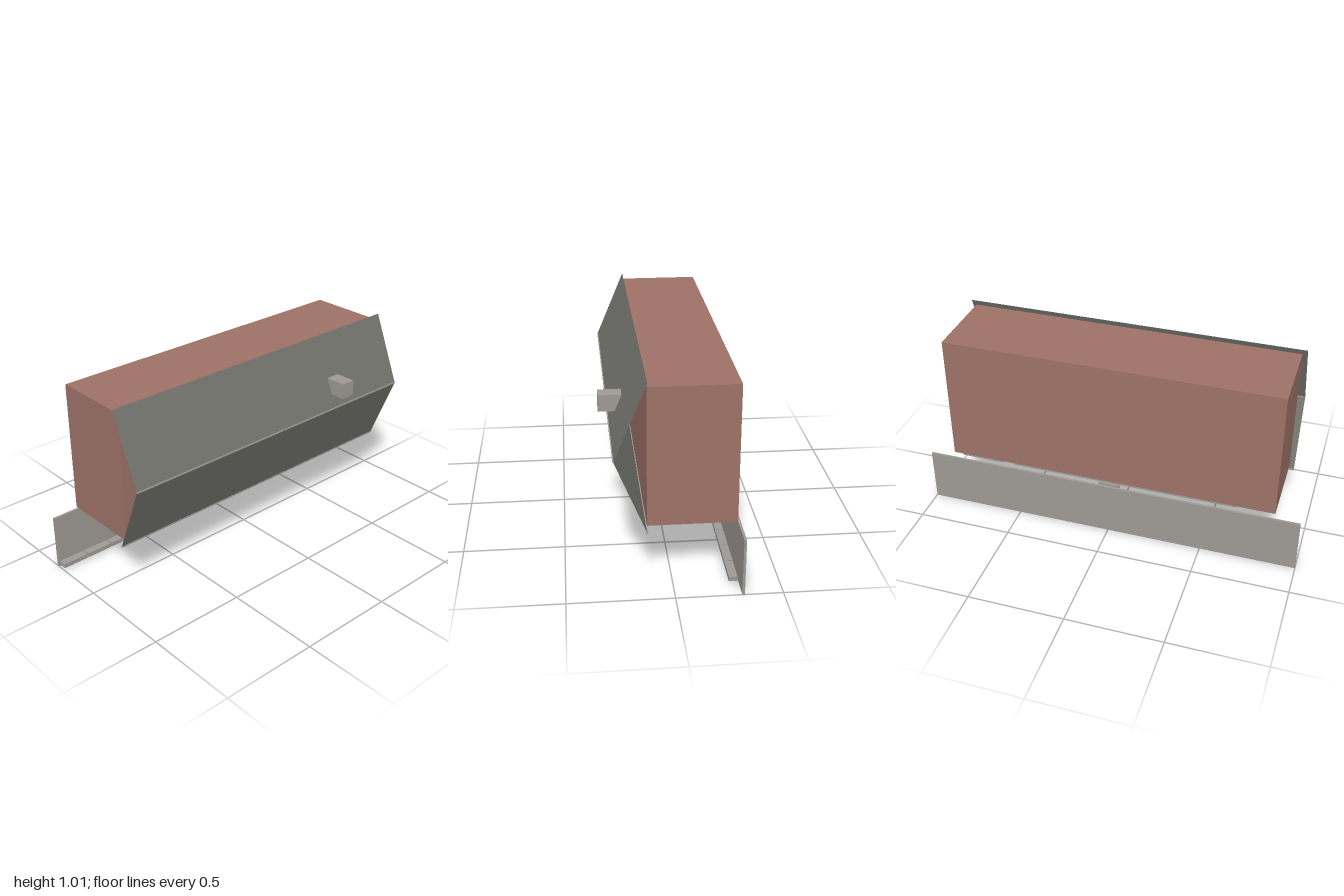
import * as THREE from 'three';

const brick = new THREE.MeshStandardMaterial({ name: 'brick', color: 0x9e7267 });
const stone = new THREE.MeshStandardMaterial({ name: 'stone', color: 0x9e9994 });
const slate = new THREE.MeshStandardMaterial({ name: 'slate', color: 0x74746f, side: THREE.DoubleSide });

// Box given by its low and high limits on each axis
function block(name, material, [x0, x1], [y0, y1], [z0, z1]) {
  const mesh = new THREE.Mesh(new THREE.BoxGeometry(x1 - x0, y1 - y0, z1 - z0), material);
  mesh.position.set((x0 + x1) / 2, (y0 + y1) / 2, (z0 + z1) / 2);
  mesh.name = name;
  return mesh;
}

// Thin sheet spanning the full roof width between two (y, z) edges
function slope(name, yTop, zTop, yLow, zLow) {
  const rise = yTop - yLow, run = zTop - zLow;
  const mesh = new THREE.Mesh(new THREE.PlaneGeometry(1.79, Math.hypot(rise, run)), slate);
  mesh.position.set(0, (yTop + yLow) / 2, (zTop + zLow) / 2);
  mesh.rotation.x = Math.atan2(run, rise);
  mesh.name = name;
  return mesh;
}

export function createModel() {
  const model = new THREE.Group();
  model.name = 'building';

  // Main volume
  model.add(block('body', brick, [-0.87, 0.87], [0.31, 0.99], [-0.3, 0.12]));

  // Folded front roof with its two edge rails and chimney
  model.add(slope('upperRoof', 1.015, 0.118, 0.65, 0.27));
  model.add(slope('lowerRoof', 0.65, 0.27, 0.285, 0.12));
  model.add(block('ridgeRail', stone, [-0.895, 0.895], [0.647, 0.654], [0.266, 0.273]));
  model.add(block('eaveRail', stone, [-0.895, 0.895], [0.282, 0.289], [0.116, 0.123]));
  model.add(block('chimney', stone, [0.41, 0.487], [0.72, 0.803], [0.193, 0.32]));

  // Plates under the body
  model.add(block('floorPlate', stone, [-0.67, 0.53], [0.302, 0.311], [-0.3, 0.1]));
  model.add(block('endFloorPlate', stone, [0.59, 0.82], [0.302, 0.311], [-0.3, -0.1]));
  model.add(block('frontPad', stone, [0.62, 0.79], [0.286, 0.297], [-0.035, 0.085]));
  model.add(block('backPad', stone, [0.6, 0.81], [0.286, 0.297], [-0.28, -0.07]));
  model.add(block('longPad', stone, [-0.6, 0.47], [0.285, 0.302], [-0.28, -0.11]));
  model.add(block('bracket', stone, [-0.055, 0.055], [0.235, 0.292], [-0.3, -0.282]));

  // Back wall and the row of kerb stones in front of it
  model.add(block('backWall', stone, [-1, 1], [0, 0.287], [-0.32, -0.308]));
  const kerb = new THREE.Group();
  kerb.name = 'kerb';
  const step = 1.9 / 13;
  for (let i = 0; i < 13; i++) {
    const x = -0.995 + i * step;
    kerb.add(block('kerbStone', stone, [x, x + step - 0.006], [0.01, 0.033], [-0.302, -0.261]));
  }
  model.add(kerb);

  return model;
}
